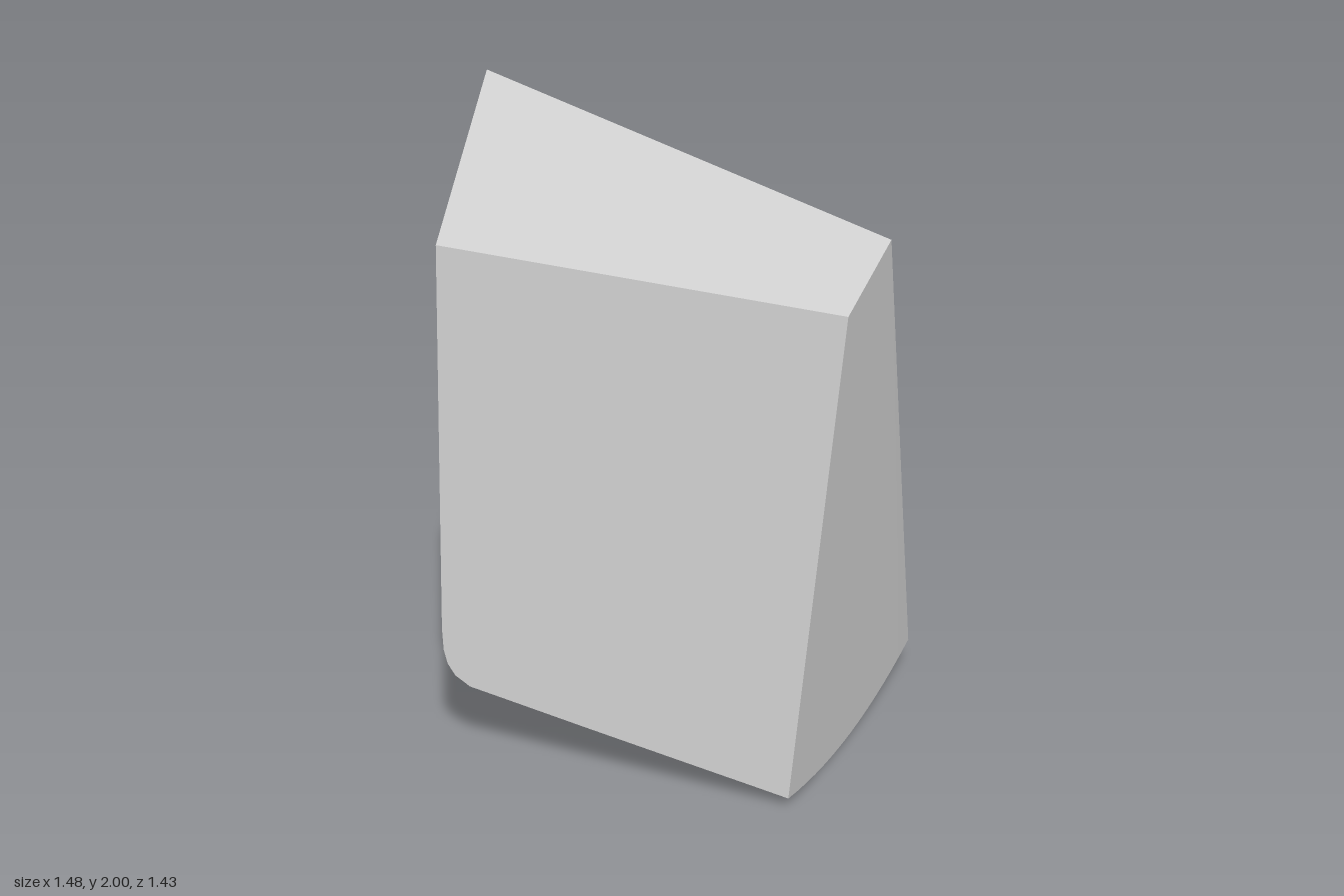
import * as THREE from 'three';
import { toCreasedNormals } from 'three/addons/utils/BufferGeometryUtils.js';

const SECTIONS = 14;

// Outlines run from the top left corner, down the left side, along the rounded base to the top right.
const frontOutline = [
  [-0.72, 1.66], [-0.742, 0.46], [-0.739, 0.39], [-0.728, 0.345], [-0.705, 0.308], [-0.66, 0.277],
  [-0.55, 0.25], [-0.3, 0.188], [-0.02, 0.12], [0.22, 0.062], [0.31, 0.04], [0.455, 1.555],
];
const backOutline = [
  [-0.61, 2.0], [-0.545, 0.905], [-0.535, 0.82], [-0.51, 0.73], [-0.45, 0.636], [-0.38, 0.554],
  [-0.27, 0.468], [0, 0.345], [0.3, 0.21], [0.61, 0.112], [0.74, 0.1], [0.59, 1.69],
];

// The front and back faces are slanted planes
const onFront = ([x, y]) => new THREE.Vector3(x, y, (1.158 + 0.427 * x - 0.177 * y) / 1.795);
const onBack = ([x, y]) => new THREE.Vector3(x, y, (0.682 * y + 1.207 * x - 1.222) / 1.8615);

function blockGeometry() {
  const front = frontOutline.map(onFront);
  const back = backOutline.map(onBack);
  const n = front.length;
  const positions = [];
  const index = [];

  // Blend the two outlines, letting the base sag between them, more towards the left
  for (let j = 0; j <= SECTIONS; j++) {
    const s = j / SECTIONS;
    for (let i = 0; i < n; i++) {
      const p = front[i].clone().lerp(back[i], s);
      const isTop = i === 0 || i === n - 1;
      if (!isTop) p.y -= 4 * s * (1 - s) * THREE.MathUtils.lerp(0.12, 0.065, (i - 1) / (n - 3));
      positions.push(p.x, p.y, p.z);
    }
  }

  // Sides, base and top
  for (let j = 0; j < SECTIONS; j++) {
    for (let i = 0; i < n; i++) {
      const a = j * n + i;
      const b = j * n + (i + 1) % n;
      index.push(a, a + n, b + n, a, b + n, b);
    }
  }

  // Front and back faces
  const last = SECTIONS * n;
  for (let i = 1; i < n - 1; i++) {
    index.push(0, i, i + 1);
    index.push(last, last + i + 1, last + i);
  }

  const geometry = new THREE.BufferGeometry();
  geometry.setAttribute('position', new THREE.Float32BufferAttribute(positions, 3));
  geometry.setIndex(index);
  return toCreasedNormals(geometry, 0.55);
}

export function createModel() {
  const stone = new THREE.MeshStandardMaterial({ color: 0xcccccc });
  stone.name = 'light grey';

  const block = new THREE.Mesh(blockGeometry(), stone);
  block.name = 'wedgeBlock';

  const model = new THREE.Group();
  model.name = 'wedge';
  model.add(block);
  return model;
}
